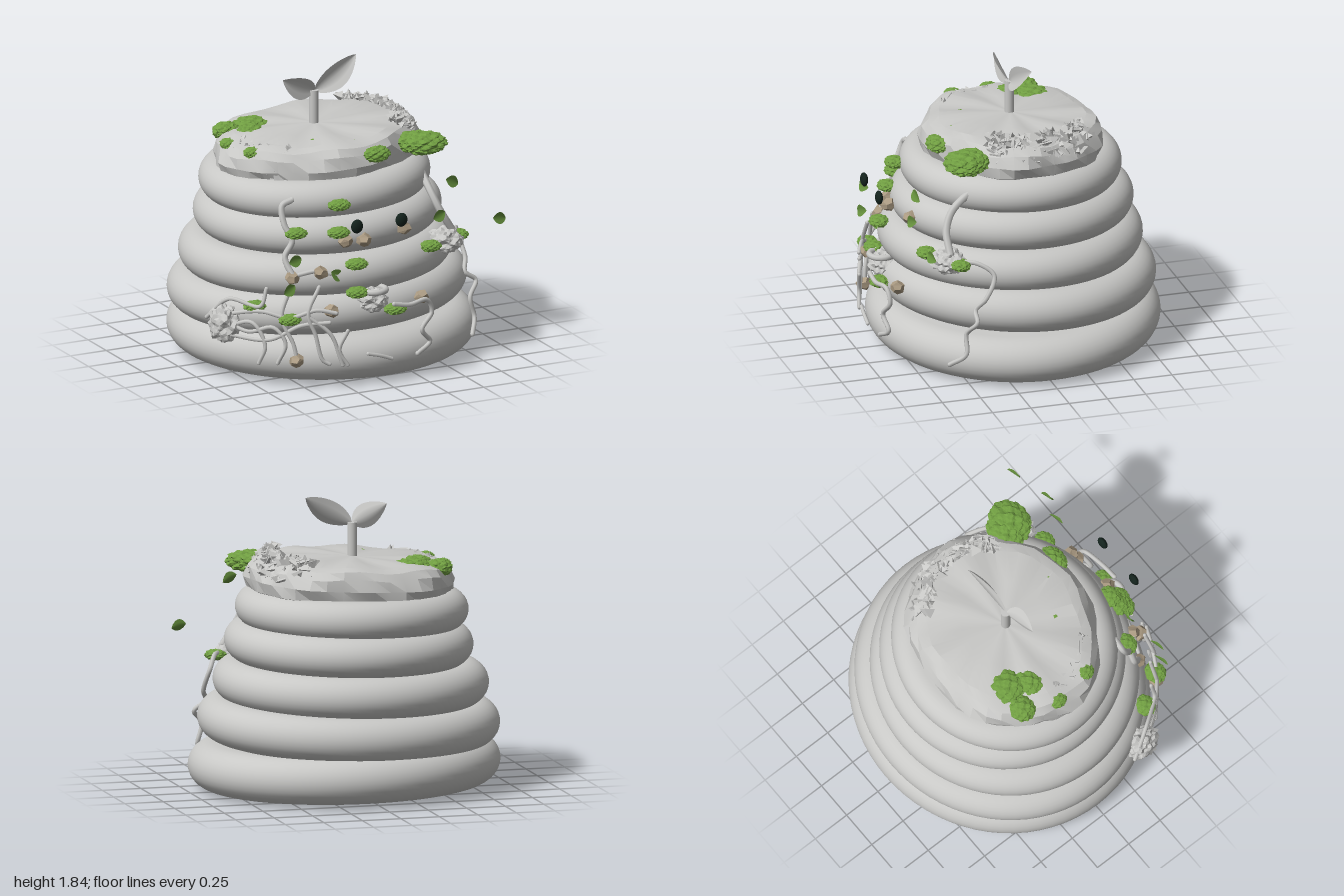
import * as THREE from 'three';
import { toCreasedNormals } from 'three/addons/utils/BufferGeometryUtils.js';

const mat = (name, color) => new THREE.MeshStandardMaterial({ name, color, side: THREE.DoubleSide });

export function createModel() {
  const clay = mat('clay grey', 0xc8c8c6);
  const moss = mat('moss green', 0x719f42);
  const leafGreen = mat('leaf green', 0x658f3c);
  const pebble = mat('pebble beige', 0xaa9a82);
  const dark = mat('eye dark', 0x14231d);

  const model = new THREE.Group();
  let seed = 7;
  const rand = () => (seed = (seed * 16807) % 2147483647) / 2147483647;

  const add = (name, geometry, material, x = 0, y = 0, z = 0) => {
    const mesh = new THREE.Mesh(geometry, material);
    mesh.name = name;
    mesh.position.set(x, y, z);
    model.add(mesh);
    return mesh;
  };
  // Moves every vertex by a rule
  const warp = (geometry, rule) => {
    const p = geometry.attributes.position;
    const v = new THREE.Vector3();
    for (let i = 0; i < p.count; i++) {
      rule(v.fromBufferAttribute(p, i));
      p.setXYZ(i, v.x, v.y, v.z);
    }
    geometry.computeVertexNormals();
    return geometry;
  };
  const bumps = (v, f) => Math.sin(v.x * f + 1) * Math.sin(v.y * f * 1.1 + 2) * Math.sin(v.z * f * 0.9 + 4);

  // Stacked coils: rounded discs, each slightly tilted
  [ // x, y, z, radiusX, radiusZ, halfHeight, tiltX, tiltZ
    [0.01, 0.165, -0.02, 0.98, 0.915, 0.147, 0.01, -0.015],
    [-0.015, 0.435, -0.035, 0.95, 0.88, 0.138, -0.025, 0.025],
    [-0.035, 0.675, -0.015, 0.865, 0.825, 0.135, -0.01, 0.02],
    [-0.02, 0.92, -0.02, 0.78, 0.76, 0.13, -0.01, 0.025],
    [-0.04, 1.135, -0.02, 0.732, 0.69, 0.125, 0, 0.025],
  ].forEach(([x, y, z, rx, rz, h, tx, tz], i) => {
    const pts = [new THREE.Vector2(0, -h)];
    for (let k = 0; k <= 16; k++) {
      const a = (k / 16 - 0.5) * Math.PI;
      pts.push(new THREE.Vector2(rx - h * 1.1 + Math.cos(a) * h * 1.1, Math.sin(a) * h));
    }
    pts.push(new THREE.Vector2(0, h));
    const coil = add('coil' + (i + 1), toCreasedNormals(new THREE.LatheGeometry(pts, 72), 0.8), clay, x, y, z);
    coil.scale.z = rz / rx;
    coil.rotation.set(tx, 0, tz);
  });

  // Rough cap with a fan of shallow creases
  const capProfile = [[0, -0.14], [0.58, -0.14], [0.645, -0.1], [0.665, -0.03], [0.64, 0.04], [0.6, 0.085], [0.53, 0.105], [0.3, 0.112], [0, 0.115]]
    .map(([x, y]) => new THREE.Vector2(x, y));
  const cap = add('cap', toCreasedNormals(warp(new THREE.LatheGeometry(capProfile, 40), (v) => {
    const r = Math.hypot(v.x, v.z), a = Math.atan2(v.z, v.x);
    const k = 1 + (r > 0.4 ? 0.025 * Math.sin(a * 5 + v.y * 9) + 0.015 * Math.sin(a * 11 + v.y * 30) : 0);
    v.x *= k;
    v.z *= k * 0.85;
    if (v.y > 0) v.y += Math.sin(a * 8) * 0.009 * Math.min(r * 3, 1);
  }), 0.3), clay, -0.035, 1.345, -0.02);
  cap.rotation.z = 0.045;

  // Crumbled edge on both sides of the cap
  const crumble = (name, from, to, count, low) => {
    const group = new THREE.Group();
    group.name = name;
    for (let i = 0; i < count; i++) {
      const a = from + (to - from) * rand();
      const drop = rand();
      const r = 0.5 + 0.13 * drop;
      const chip = new THREE.Mesh(new THREE.TetrahedronGeometry(0.025 + 0.028 * rand()), clay);
      chip.name = 'chip';
      chip.position.set(-0.035 + r * Math.cos(a), 1.455 + 0.05 * Math.cos(a) - low * drop * drop, -0.02 + 0.87 * r * Math.sin(a));
      chip.rotation.set(rand() * 6, rand() * 6, rand() * 6);
      group.add(chip);
    }
    model.add(group);
  };
  crumble('rightCrumble', -0.85, 0.65, 170, 0.13);
  crumble('leftCrumble', 2.3, 3.25, 110, 0.2);

  // Leaf blade along +x, folded at the midrib
  const blade = (length, width, fold, sag) => warp(new THREE.PlaneGeometry(1, 1, 14, 4), (v) => {
    const t = v.x + 0.5;
    const half = width * Math.pow(Math.sin(Math.PI * Math.pow(t, 0.85)), 0.8) || 0;
    const s = v.y;
    v.set(t * length, s * half + sag * Math.sin(t * Math.PI), Math.abs(s) * half * fold);
  });

  // Sprout: stem and two leaves
  add('stem', new THREE.CylinderGeometry(0.03, 0.03, 0.24, 20), clay, -0.045, 1.55, -0.015);
  const sproutLeft = add('sproutLeaf', blade(0.37, 0.15, 0.5, -0.015), clay, -0.045, 1.66, -0.015);
  sproutLeft.rotation.set(-0.25, 0, 0.54);
  const sproutRight = add('sproutLeaf', blade(0.26, 0.15, 0.5, 0), clay, -0.045, 1.66, -0.015);
  sproutRight.rotation.set(0.25, 0, 2.68);

  // Eyes
  for (const x of [-0.2, 0.11]) {
    add('eye', new THREE.SphereGeometry(1, 20, 14), dark, x, 1.05, 0.885).scale.set(0.04, 0.045, 0.023);
  }

  // Pebbles
  [[-0.2, 0.91, 0.73], [-0.085, 0.91, 0.76], [0.21, 0.935, 0.71], [-0.535, 0.695, 0.65],
    [-0.38, 0.73, 0.73], [-0.345, 0.5, 0.82], [0.285, 0.505, 0.82], [-0.56, 0.19, 0.77],
  ].forEach(([x, y, z], i) => {
    const stone = add('pebble', warp(new THREE.DodecahedronGeometry(0.049), (v) => v.multiplyScalar(1 + 0.25 * bumps(v, 40))), pebble, x, y, z);
    stone.scale.y = 0.88;
    stone.rotation.y = i;
  });

  // Moss clumps: x, y, z, radiusX, radiusY, radiusZ
  const clump = (x, y, z, rx, ry, rz) => {
    const detail = rx > 0.09 ? 9 : 6;
    add('mossClump', warp(new THREE.IcosahedronGeometry(1, detail), (v) => {
      const k = 1 + 0.13 * bumps(v, 9) + 0.07 * bumps(v, 17);
      v.set(v.x * k * rx, v.y * k * ry, v.z * k * rz);
    }), moss, x, y, z);
  };
  [[-0.22, 1.135, 0.68], [-0.48, 0.965, 0.6], [-0.245, 0.97, 0.72], [-0.16, 0.775, 0.8], [-0.17, 0.6, 0.83],
    [0.075, 0.47, 0.87], [0.42, 0.775, 0.67], [0.68, 0.775, 0.53], [-0.74, 0.51, 0.54], [-0.595, 0.455, 0.74],
  ].forEach(([x, y, z]) => clump(x, y, z, 0.072, 0.034, 0.062));
  [[-0.16, 1.405, 0.29, 0.11, 0.04, 0.1], [0.01, 1.4, 0.38, 0.125, 0.045, 0.12], [0.12, 1.37, 0.5, 0.1, 0.05, 0.075],
    [0.45, 1.375, 0.38, 0.135, 0.06, 0.1], [0.49, 1.375, 0.45, 0.145, 0.065, 0.12],
    [-0.53, 1.4, -0.27, 0.085, 0.055, 0.08], [-0.36, 1.415, -0.26, 0.115, 0.05, 0.11], [-0.43, 1.41, -0.13, 0.1, 0.05, 0.08],
    [-0.62, 1.385, -0.06, 0.05, 0.035, 0.06], [-0.58, 1.39, 0.19, 0.055, 0.035, 0.055],
  ].forEach((c) => clump(...c));

  // Loose green leaves: x, y, turn
  [[-0.575, 0.845, 0.1], [-0.615, 0.66, 0.4], [-0.285, 0.71, -0.6], [0.43, 1.0, 0.3], [0.52, 1.21, -0.4], [0.85, 0.925, -0.15],
  ].forEach(([x, y, turn]) => {
    const leaf = add('looseLeaf', blade(0.105, 0.075, 0.4, 0).translate(-0.05, 0, 0), leafGreen, x, y, 0.77);
    leaf.rotation.set(-0.2, 0.25, turn);
  });

  // Vines; points without z hang just outside the coils
  const vine = (radius, pts) => {
    const curve = new THREE.CatmullRomCurve3(pts.map(([x, y, z]) =>
      new THREE.Vector3(x, y, z ?? 0.93 * Math.sqrt(Math.max(0.05, 1 - x * x)) - Math.max(0, y - 0.5) * 0.3)));
    add('vine', new THREE.TubeGeometry(curve, pts.length * 8, radius, 7), clay);
    for (const t of [0, 1]) {
      const end = curve.getPoint(t);
      add('vineEnd', new THREE.SphereGeometry(radius, 7, 5), clay, end.x, end.y, end.z);
    }
  };
  vine(0.024, [[0.49, 1.18, 0.41], [0.5, 1.07, 0.53], [0.54, 0.96, 0.58], [0.62, 0.83, 0.58]]);
  vine(0.015, [[0.66, 0.79, 0.53], [0.72, 0.79, 0.43], [0.775, 0.72, 0.34], [0.8, 0.58, 0.4], [0.77, 0.5, 0.46], [0.84, 0.44, 0.47],
    [0.775, 0.35, 0.52], [0.8, 0.22, 0.53], [0.74, 0.14, 0.62]]);
  vine(0.015, [[0.04, 0.52], [0.15, 0.5], [0.285, 0.505], [0.325, 0.42], [0.245, 0.32], [0.31, 0.23], [0.21, 0.17]]);
  vine(0.02, [[-0.47, 1.16, 0.52], [-0.54, 1.13, 0.52], [-0.545, 1.02, 0.56], [-0.51, 0.92, 0.6], [-0.56, 0.82, 0.6], [-0.53, 0.7, 0.66]]);
  vine(0.014, [[-0.5, 0.72, 0.68], [-0.4, 0.74, 0.72], [-0.29, 0.71, 0.76]]);
  vine(0.012, [[-0.14, 0.22], [-0.06, 0.2], [0.02, 0.17]]);
  [
    [[-0.93, 0.42], [-0.74, 0.5], [-0.6, 0.47], [-0.45, 0.52], [-0.34, 0.5]],
    [[-0.95, 0.4], [-0.87, 0.55], [-0.74, 0.53], [-0.7, 0.64]],
    [[-0.9, 0.35], [-0.78, 0.42], [-0.72, 0.28], [-0.75, 0.16]],
    [[-0.93, 0.45], [-0.8, 0.36], [-0.68, 0.4], [-0.62, 0.3], [-0.66, 0.17]],
    [[-0.58, 0.65], [-0.64, 0.47], [-0.58, 0.3], [-0.56, 0.19]],
    [[-0.42, 0.66], [-0.5, 0.5], [-0.46, 0.36], [-0.42, 0.2], [-0.38, 0.17]],
    [[-0.5, 0.48], [-0.37, 0.36], [-0.32, 0.22], [-0.3, 0.16]],
    [[-0.27, 0.38], [-0.32, 0.26], [-0.27, 0.16]],
    [[-0.88, 0.32], [-0.7, 0.32], [-0.54, 0.42], [-0.38, 0.44]],
  ].forEach((pts) => vine(0.013, pts));

  // Lumps where the vines take root
  const lump = (x, y, z, rx, ry, rz) => add('rootLump', warp(new THREE.IcosahedronGeometry(1, 5), (v) => {
    const k = 1 + 0.22 * bumps(v, 5) + 0.15 * bumps(v, 11);
    v.set(v.x * k * rx, v.y * k * ry, v.z * k * rz);
  }), clay, x, y, z);
  lump(0.57, 0.77, 0.58, 0.11, 0.08, 0.1);
  lump(-0.06, 0.53, 0.81, 0.1, 0.08, 0.08);
  lump(-0.88, 0.38, 0.4, 0.09, 0.12, 0.11);
  const rim = add('rootRim', new THREE.TorusGeometry(0.075, 0.02, 8, 20), clay, -0.05, 0.6, 0.82);
  rim.rotation.x = Math.PI / 2;

  return model;
}
